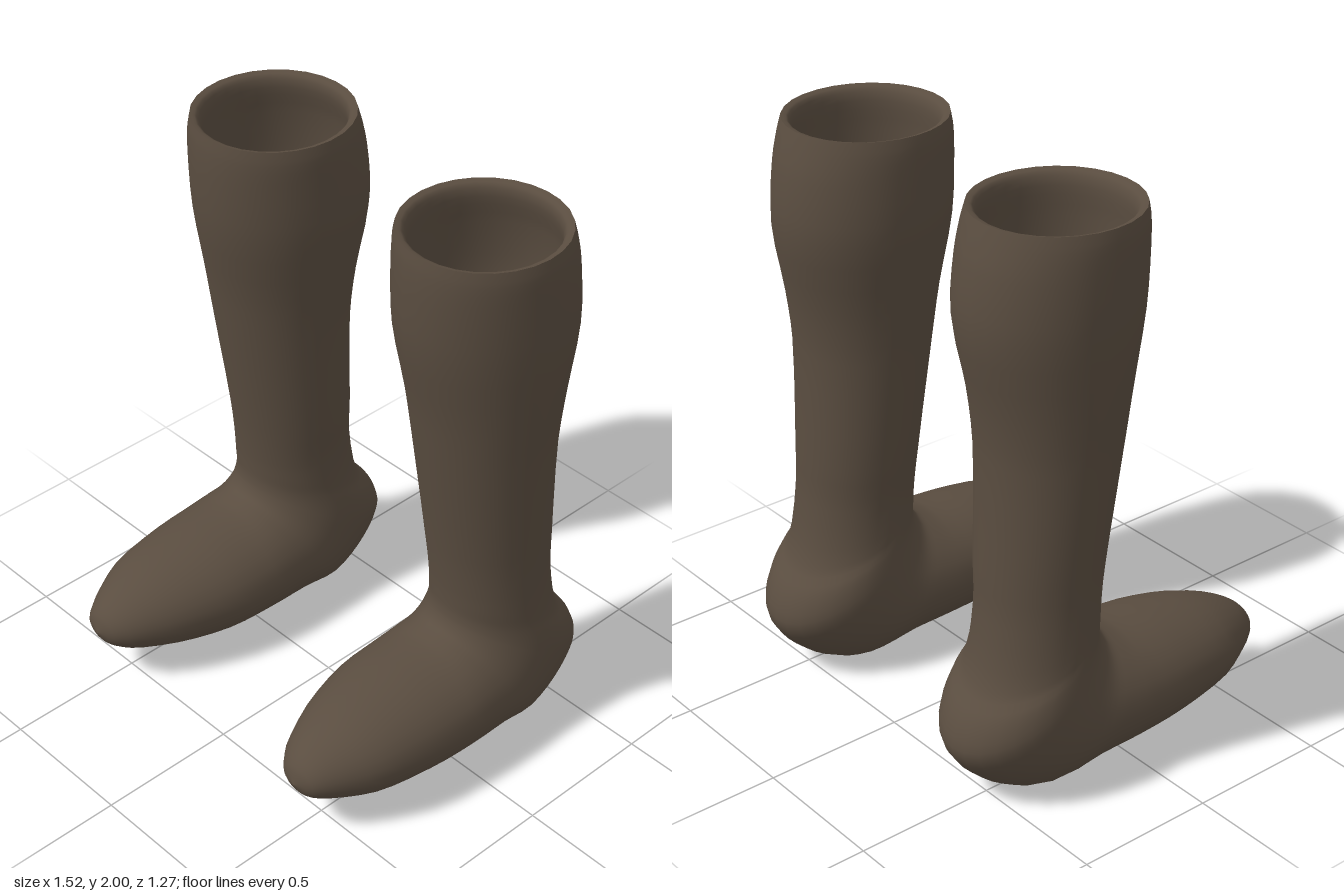
import * as THREE from 'three';

const leather = new THREE.MeshStandardMaterial({ color: 0x5a4d40 });
leather.name = 'brown leather';

// Foot: tilted ellipses from the toe around the heel.
// [front z, front y, back z, back y, centre x, half width]
const foot = [
  [0.635, 0.22, 0.635, 0.22, 0.51, 0.001],
  [0.615, 0.28, 0.61, 0.17, 0.51, 0.07],
  [0.55, 0.33, 0.55, 0.13, 0.505, 0.125],
  [0.4, 0.39, 0.4, 0.08, 0.505, 0.2],
  [0.2, 0.425, 0.2, 0.045, 0.495, 0.245],
  [0.03, 0.44, 0, 0.03, 0.495, 0.255],
  [-0.02, 0.455, -0.2, 0.02, 0.495, 0.252],
  [-0.05, 0.47, -0.38, 0, 0.495, 0.25],
  [-0.064, 0.487, -0.52, 0.065, 0.495, 0.245],
  [-0.074, 0.51, -0.615, 0.165, 0.494, 0.24],
  [-0.078, 0.53, -0.635, 0.23, 0.494, 0.235],
  [-0.08, 0.55, -0.6, 0.33, 0.494, 0.225],
  [-0.08, 0.58, -0.53, 0.42, 0.494, 0.214],
];

// Shaft: level ellipses climbing to the rim.
// [height, front z, back z, centre x, half width]
const shaft = [
  [0.64, -0.077, -0.486, 0.493, 0.208],
  [0.8, -0.06, -0.48, 0.488, 0.216],
  [1.2, 0, -0.47, 0.487, 0.238],
  [1.4, 0.03, -0.49, 0.485, 0.257],
  [1.65, 0.077, -0.535, 0.476, 0.284],
  [1.85, 0.088, -0.52, 0.476, 0.284],
  [1.95, 0.085, -0.495, 0.476, 0.28],
  [2, 0.078, -0.48, 0.476, 0.27],
];

// A level section, drawn in by the leather's thickness and lowered by drop.
const level = ([y, f, b, x, w], inset = 0, drop = 0) =>
  [f - inset, y - drop, b + inset, y - drop, x, w - inset];

const shellSections = [...foot, ...shaft.map((s) => level(s))];

// The lining turns over the rim, follows the shaft down and closes in the heel.
const [rim, ...below] = [...shaft].reverse();
const ankle = shaft[0];
const liningSections = [
  level(rim),
  level(rim, 0.024, 0.01),
  ...below.map((s) => level(s, 0.045)),
  level(ankle, 0.045, 0.44),
  level(ankle, 0.1, 0.54),
  level(ankle, 0.204, 0.56),
];

// Smooth surface through a row of sections; side is +1 or -1.
function loft(sections, side, sides = 28, steps = 3) {
  const curve = (fn) => new THREE.CatmullRomCurve3(sections.map(fn));
  const front = curve((s) => new THREE.Vector3(0, s[1], s[0]));
  const back = curve((s) => new THREE.Vector3(0, s[3], s[2]));
  const span = curve((s, i) => new THREE.Vector3(s[4], s[5], i));
  const rings = (sections.length - 1) * steps;
  const positions = [];
  const index = [];
  for (let i = 0; i <= rings; i++) {
    const t = i / rings;
    const f = front.getPoint(t);
    const b = back.getPoint(t);
    const { x: cx, y: width } = span.getPoint(t);
    for (let j = 0; j < sides; j++) {
      const a = (j / sides) * Math.PI * 2;
      const k = (1 + Math.cos(a)) / 2;
      positions.push(
        side * cx + width * Math.sin(a),
        b.y + (f.y - b.y) * k,
        b.z + (f.z - b.z) * k,
      );
      if (i === rings) continue;
      const p = i * sides + j;
      const q = i * sides + ((j + 1) % sides);
      index.push(p, q, q + sides, p, q + sides, p + sides);
    }
  }
  const geometry = new THREE.BufferGeometry();
  geometry.setAttribute('position', new THREE.Float32BufferAttribute(positions, 3));
  geometry.setIndex(index);
  geometry.computeVertexNormals();
  return geometry;
}

function boot(side) {
  const group = new THREE.Group();
  group.name = side > 0 ? 'leftBoot' : 'rightBoot';
  for (const [name, sections] of [['bootShell', shellSections], ['bootLining', liningSections]]) {
    const mesh = new THREE.Mesh(loft(sections, side), leather);
    mesh.name = name;
    group.add(mesh);
  }
  return group;
}

export function createModel() {
  const model = new THREE.Group();
  model.name = 'boots';
  model.add(boot(1), boot(-1));
  return model;
}
